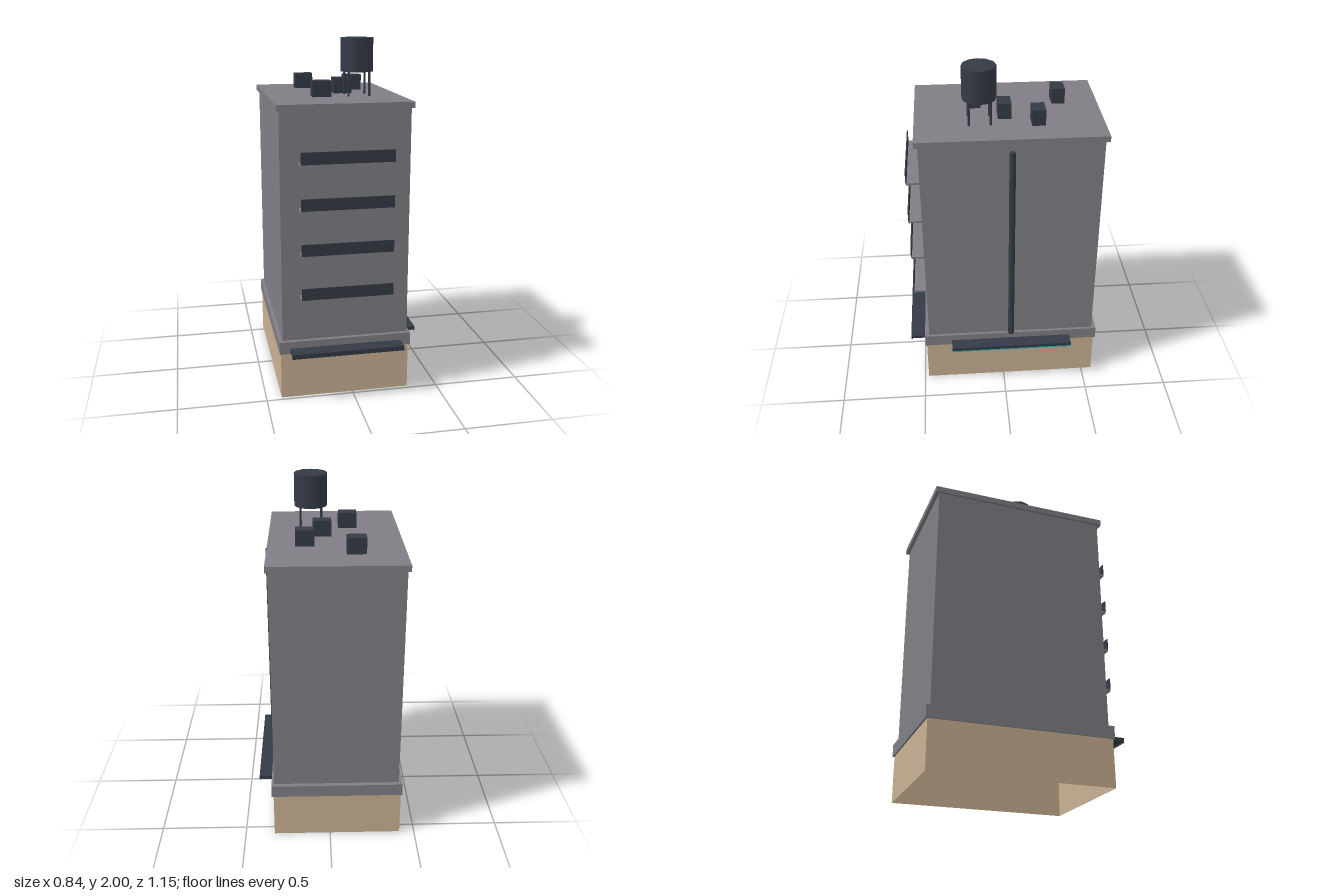
import * as THREE from 'three';

const mat = (name, color, side = THREE.FrontSide) => {
  const m = new THREE.MeshStandardMaterial({ color, side });
  m.name = name;
  return m;
};

export function createModel() {
  const model = new THREE.Group();
  model.name = 'apartmentBlock';
  const concrete = mat('grey concrete', 0x807e84);
  const plaster = mat('tan plaster', 0xc8b092, THREE.DoubleSide);
  const metal = mat('dark slate metal', 0x343b46);
  const glow = mat('teal light', 0x35b5b5);

  const add = (name, geometry, material, x, y, z) => {
    const mesh = new THREE.Mesh(geometry, material);
    mesh.name = name;
    mesh.position.set(x, y, z);
    model.add(mesh);
    return mesh;
  };
  // Box given by its extents along each axis
  const box = (name, material, [x0, x1], [y0, y1], [z0, z1]) =>
    add(name, new THREE.BoxGeometry(x1 - x0, y1 - y0, z1 - z0), material,
      (x0 + x1) / 2, (y0 + y1) / 2, (z0 + z1) / 2);

  // Ground floor: four thin walls, open at the bottom
  const [bx0, bx1, bz0, bz1, bh] = [-0.413, 0.329, -0.563, 0.477, 0.27];
  const cx = (bx0 + bx1) / 2, cz = (bz0 + bz1) / 2;
  for (let i = 0; i < 4; i++) {
    const onX = i % 2 === 1;
    const width = onX ? bz1 - bz0 : bx1 - bx0;
    const wall = add('groundFloorWall', new THREE.PlaneGeometry(width, bh), plaster,
      [cx, bx1, cx, bx0][i], bh / 2, [bz1, cz, bz0, cz][i]);
    wall.rotation.y = i * Math.PI / 2;
  }

  // Main masses
  box('ledge', concrete, [-0.42, 0.34], [0.27, 0.342], [-0.573, 0.485]);
  box('tower', concrete, [-0.4, 0.324], [0.342, 1.642], [-0.547, 0.46]);
  box('roofSlab', concrete, [-0.415, 0.337], [1.642, 1.676], [-0.568, 0.481]);

  // Balconies: thin slab with an upright front panel
  for (let i = 0; i < 4; i++) {
    const y = 0.595 + i * 0.2527;
    box('balconySlab', concrete, [-0.298, 0.218], [y, y + 0.012], [0.46, 0.54]);
    box('balconyPanel', metal, [-0.298, 0.218], [y + 0.012, y + 0.079], [0.536, 0.542]);
  }

  // Awnings, with a light strip beneath the outer edge
  box('frontAwning', metal, [-0.36, 0.281], [0.282, 0.302], [0.485, 0.573]);
  box('frontAwningTrim', metal, [-0.36, 0.281], [0.275, 0.282], [0.566, 0.573]);
  box('sideAwning', metal, [0.34, 0.417], [0.282, 0.302], [-0.408, 0.321]);
  box('sideAwningLight', glow, [0.409, 0.417], [0.274, 0.282], [-0.408, 0.321]);

  // Drainpipe and its wall brackets
  add('drainpipe', new THREE.CylinderGeometry(0.018, 0.018, 1.26, 6), metal, 0.34, 0.972, -0.044);
  for (const y of [0.6, 1.045, 1.49])
    box('pipeBracket', metal, [0.315, 0.335], [y - 0.006, y + 0.006], [-0.054, -0.034]);

  // Rooftop units
  for (const [x, z] of [[-0.146, -0.342], [0.13, -0.201], [0.033, -0.021], [-0.118, 0.143]])
    add('rooftopUnit', new THREE.BoxGeometry(0.106, 0.09, 0.075), metal, x, 1.721, z);

  // Water tank on four legs
  const tx = 0.094, tz = 0.12;
  add('waterTank', new THREE.CylinderGeometry(0.095, 0.095, 0.188, 12), metal, tx, 1.906, tz);
  for (const sx of [-1, 1])
    for (const sz of [-1, 1])
      add('tankLeg', new THREE.CylinderGeometry(0.007, 0.007, 0.14, 6), metal,
        tx + sx * 0.06, 1.745, tz + sz * 0.06);

  return model;
}
